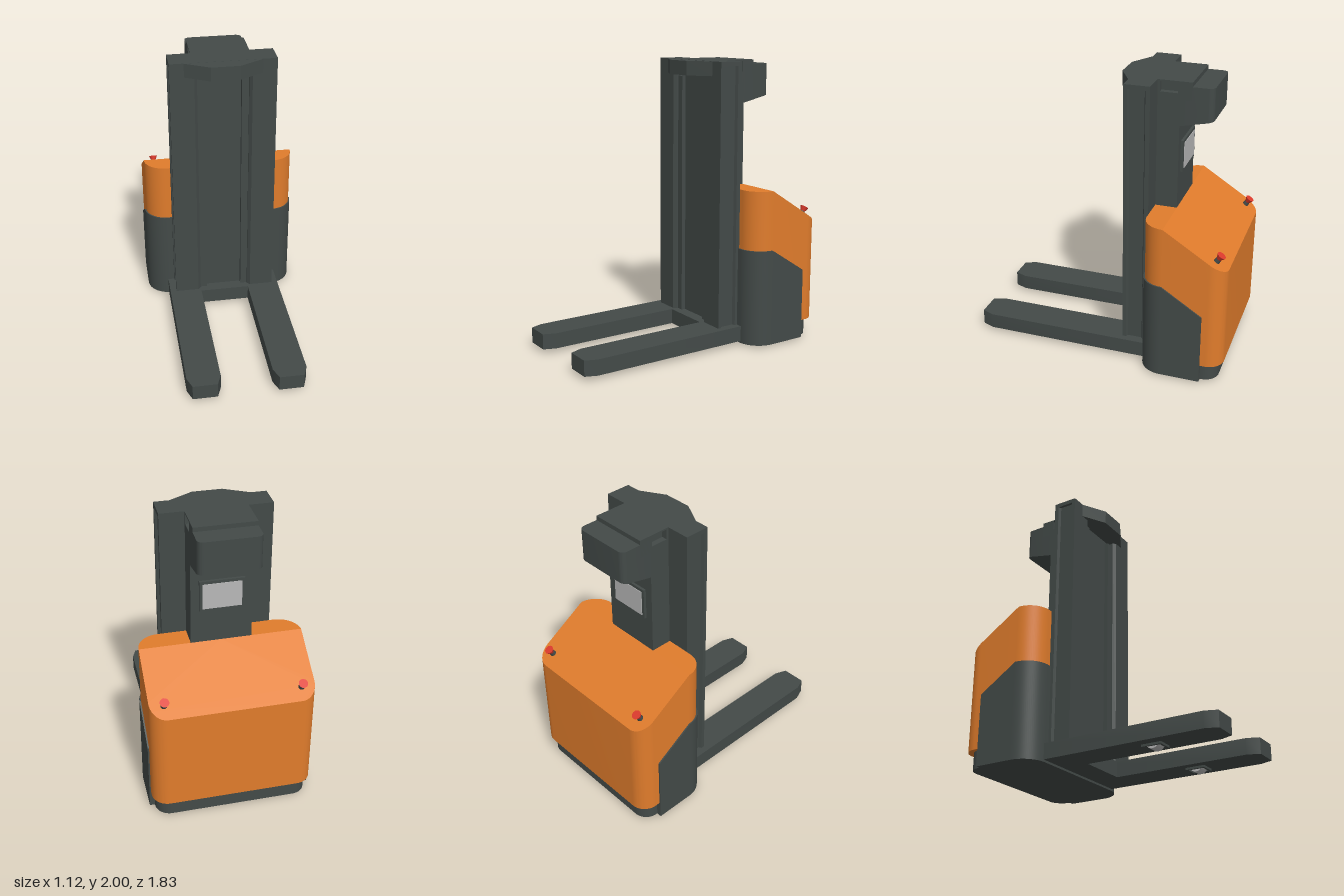
import * as THREE from 'three';
import { toCreasedNormals } from 'three/addons/utils/BufferGeometryUtils.js';

const mat = (name, color, side = THREE.FrontSide) => {
  const m = new THREE.MeshStandardMaterial({ color, side });
  m.name = name;
  return m;
};

export function createModel() {
  const dark = mat('dark grey', 0x434a48);
  const orange = mat('orange', 0xe07c2c);
  const red = mat('red', 0xdc3a2c);
  const grey = mat('light grey', 0xb8b8b8);
  const root = new THREE.Group();
  root.name = 'palletStacker';

  const add = (name, geo, material, x = 0, y = 0, z = 0, parent = root) => {
    const m = new THREE.Mesh(geo, material);
    m.name = name;
    m.position.set(x, y, z);
    parent.add(m);
    return m;
  };
  const box = (name, x0, x1, y0, y1, z0, z1, material = dark) =>
    add(name, new THREE.BoxGeometry(x1 - x0, y1 - y0, z1 - z0), material, (x0 + x1) / 2, (y0 + y1) / 2, (z0 + z1) / 2);

  // Shape from [x, z] plan points
  const poly = pts => new THREE.Shape(pts.map(([x, z]) => new THREE.Vector2(x, -z)));
  // Rounded plan, symmetric in x, with separate front and back corner radii
  const plan = (w, front, back, rf, rb) => {
    const s = new THREE.Shape(), f = -front, b = -back, P = Math.PI;
    const corner = (x, y, r, cx, cy, a) => (r ? s.absarc(cx, cy, r, a, a + P / 2) : s.lineTo(x, y));
    s.moveTo(0, f);
    corner(w, f, rf, w - rf, f + rf, -P / 2);
    corner(w, b, rb, w - rb, b - rb, 0);
    corner(-w, b, rb, -w + rb, b - rb, P / 2);
    corner(-w, f, rf, -w + rf, f + rf, P);
    return s;
  };
  // Vertical extrusion; bottom and top heights may depend on z
  const slab = (shape, bottom, top) => {
    const at = (h, z) => (typeof h === 'function' ? h(z) : h);
    const g = new THREE.ExtrudeGeometry(shape, { depth: 1, bevelEnabled: false, curveSegments: 10 });
    g.rotateX(-Math.PI / 2);
    const p = g.attributes.position;
    for (let i = 0; i < p.count; i++) p.setY(i, at(p.getY(i) > 0.5 ? top : bottom, p.getZ(i)));
    g.computeVertexNormals();
    return toCreasedNormals(g, 0.5);
  };

  // Orange cover: flat at the front, sloping to the back
  const hoodTop = z => 1.12 + Math.min(0, z + 0.49) * 0.635;
  add('hoodFront', slab(plan(0.55, -0.34, -0.49, 0.15, 0), 0.14, 1.12), orange);
  add('hoodRear', slab(plan(0.55, -0.49, -0.915, 0, 0.11), 0.14, hoodTop), orange);

  // Dark skirt around the sides and base below the cover
  const skirtTop = z => 0.7 + Math.min(0, z + 0.49) * 0.64;
  add('skirtFront', slab(plan(0.56, -0.33, -0.49, 0.16, 0), 0.015, 0.7), dark);
  add('skirtRear', slab(plan(0.56, -0.49, -0.77, 0, 0), 0.015, skirtTop), dark);
  add('base', slab(plan(0.525, -0.5, -0.88, 0, 0.1), 0.016, 0.15), dark);

  // Mast: side channels outside, recessed panel in the middle
  const half = [
    [0.13, -0.225], [0.18, -0.225], [0.18, -0.185], [0.2, -0.165], [0.37, -0.165], [0.37, -0.19],
    [0.35, -0.2], [0.35, -0.3], [0.37, -0.31], [0.37, -0.34],
  ];
  const mastPlan = poly([...half, ...half.map(([x, z]) => [-x, z]).reverse()]);
  add('mast', slab(mastPlan, 0.1, 1.97), dark);
  box('mastCap', -0.37, 0.37, 1.97, 2, -0.34, -0.165);
  for (const s of [1, -1]) {
    box('mastRib', s * 0.155 - 0.025, s * 0.155 + 0.025, 0.14, 1.88, -0.23, -0.195);
  }

  // Nose at the top of the mast
  const nose = poly([
    [-0.27, -0.165], [-0.1, -0.07], [0.1, -0.07], [0.27, -0.165], [0.27, -0.3], [-0.27, -0.3],
  ]);
  add('mastNose', slab(nose, 1.9, 1.999), dark);

  // Column behind the mast, with screen
  box('column', -0.205, 0.205, 0.9, 1.92, -0.49, -0.33);
  box('screenFrame', -0.15, 0.15, 1.36, 1.58, -0.508, -0.48);
  box('screen', -0.13, 0.13, 1.38, 1.56, -0.512, -0.506, grey);

  // Head: upper block with a recess in each side, and overhanging rear
  const side = new THREE.Shape();
  side.moveTo(0.33, 1.88).lineTo(0.57, 1.88).lineTo(0.57, 2).lineTo(0.33, 2).closePath();
  const slot = new THREE.Path();
  slot.moveTo(0.355, 1.905).lineTo(0.355, 1.99).lineTo(0.475, 1.99).lineTo(0.475, 1.905).closePath();
  side.holes.push(slot);
  const headGeo = new THREE.ExtrudeGeometry(side, { depth: 0.41, bevelEnabled: false });
  headGeo.rotateY(Math.PI / 2);
  add('headBlock', headGeo, dark, -0.205, 0, 0);
  box('headCore', -0.165, 0.165, 1.89, 1.995, -0.56, -0.34);
  add('headRear', slab(plan(0.205, -0.485, -0.712, 0, 0.04), z => 1.7 - (z + 0.49) * 0.22, 1.97), dark);

  // Forks with rollers underneath, joined by a crossbar
  for (const s of [1, -1]) {
    const outline = [
      [0.18, -0.33], [0.18, 0.83], [0.212, 0.915], [0.383, 0.915], [0.415, 0.83], [0.415, -0.33],
    ].map(([x, z]) => [s * x, z]);
    add('fork', slab(poly(outline), 0.03, 0.14), dark);
    const frame = poly([[0.235, 0.5], [0.345, 0.5], [0.345, 0.36], [0.235, 0.36]].map(([x, z]) => [s * x, z]));
    frame.holes.push(poly([[0.25, 0.485], [0.33, 0.485], [0.33, 0.375], [0.25, 0.375]].map(([x, z]) => [s * x, z])));
    add('rollerFrame', slab(frame, 0.015, 0.032), dark);
    const roller = new THREE.CylinderGeometry(0.05, 0.05, 0.076, 24);
    roller.rotateZ(Math.PI / 2);
    add('roller', roller, grey, s * 0.29, 0.05, 0.43);
  }
  box('crossbar', -0.19, 0.19, 0.03, 0.14, -0.34, -0.14);

  // Red knobs on the slope
  for (const s of [1, -1]) {
    const knob = new THREE.Group();
    knob.name = 'knob';
    knob.position.set(s * 0.455, hoodTop(-0.832), -0.832);
    knob.rotation.x = -0.566;
    root.add(knob);
    add('knobStem', new THREE.CylinderGeometry(0.018, 0.022, 0.03, 16), dark, 0, 0.01, 0, knob);
    add('knobHead', new THREE.CylinderGeometry(0.031, 0.016, 0.035, 16), red, 0, 0.04, 0, knob);
  }
  return root;
}
